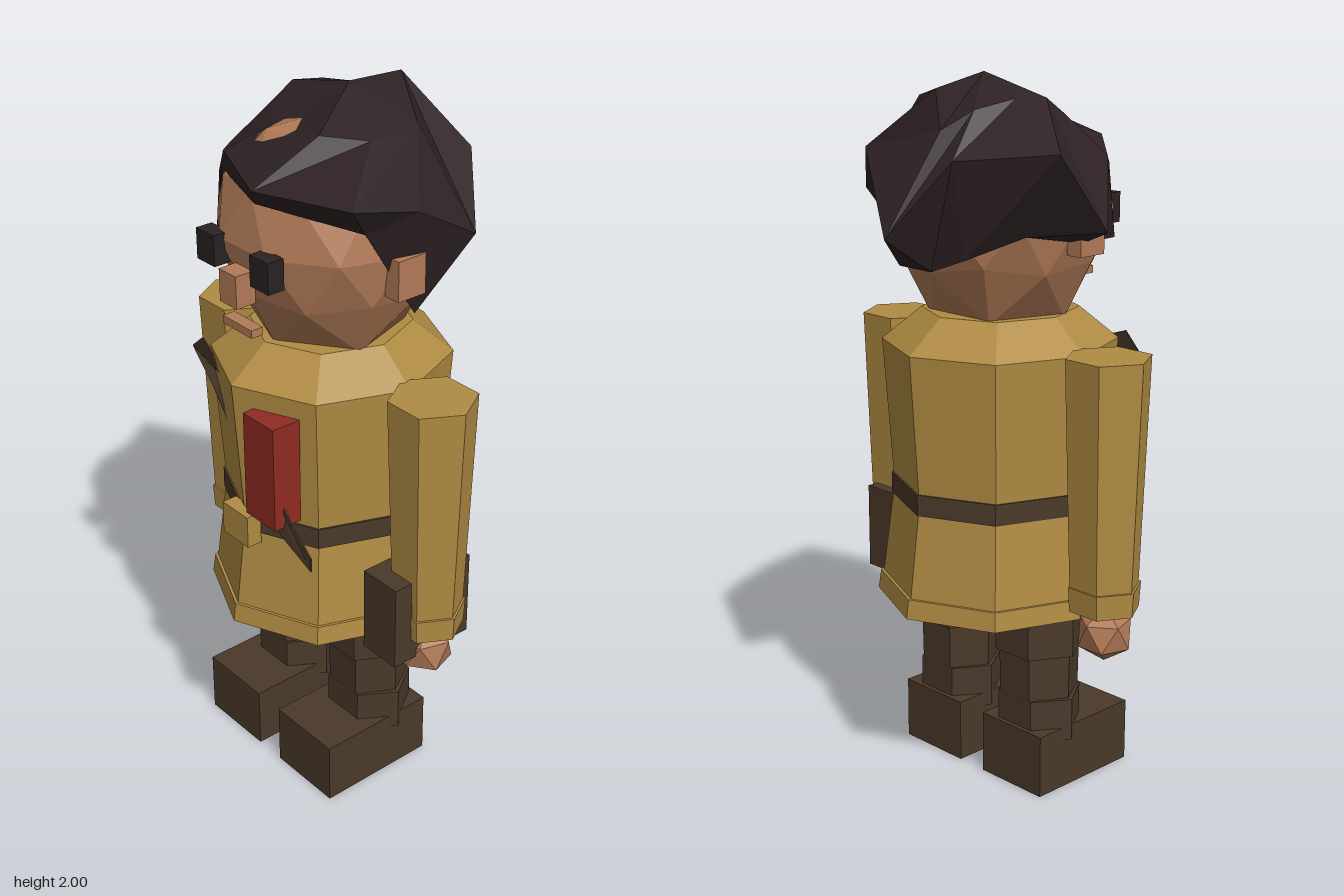
import * as THREE from 'three';

const CZ = 0.063; // depth of the body axis

const material = (name, color, side = THREE.FrontSide) => {
  const m = new THREE.MeshStandardMaterial({ color, side, flatShading: true });
  m.name = name;
  return m;
};

// Faceted ball standing on a point, with its lower ring pointing forwards
const facetedBall = (detail) => {
  const g = new THREE.IcosahedronGeometry(1, detail);
  g.rotateX(-Math.atan((1 + Math.sqrt(5)) / 2));
  g.rotateY(Math.PI);
  return g;
};

export function createModel() {
  const coat = material('coat', 0xb08b43);
  const skin = material('skin', 0xb17a57);
  const hairMat = material('hair', 0x2e2224, THREE.DoubleSide);
  const leather = material('leather', 0x4a392a, THREE.DoubleSide);
  const eyeMat = material('eye', 0x2a2122);
  const red = material('red', 0x8f2b22);

  const model = new THREE.Group();
  model.name = 'figure';

  const add = (name, geometry, mat, parent = model) => {
    const mesh = new THREE.Mesh(geometry, mat);
    mesh.name = name;
    parent.add(mesh);
    return mesh;
  };
  // Box given by its limits on each axis
  const box = (name, mat, x0, x1, y0, y1, z0, z1, parent) => {
    const mesh = add(name, new THREE.BoxGeometry(x1 - x0, y1 - y0, z1 - z0), mat, parent);
    mesh.position.set((x0 + x1) / 2, (y0 + y1) / 2, (z0 + z1) / 2);
    return mesh;
  };
  // Upright prism between two heights; six-sided ones point sideways
  const prism = (name, mat, x, y0, y1, r0, r1, sides, parent) => {
    const g = new THREE.CylinderGeometry(r1, r0, y1 - y0, sides);
    if (sides === 6) g.rotateY(Math.PI / 2);
    const mesh = add(name, g, mat, parent);
    mesh.position.set(x, (y0 + y1) / 2, CZ);
    return mesh;
  };

  // Coat: eight-sided sections, a little narrower than deep
  const torso = [
    ['coatShoulders', coat, 1.27, 1.36, 0.338, 0.225],
    ['coatChest', coat, 0.85, 1.27, 0.308, 0.338],
    ['coatSkirt', coat, 0.58, 0.85, 0.344, 0.308],
    ['coatHem', coat, 0.53, 0.585, 0.36, 0.352],
    ['belt', leather, 0.82, 0.88, 0.316, 0.316],
  ];
  for (const [name, mat, y0, y1, r0, r1] of torso) prism(name, mat, 0, y0, y1, r0, r1, 8).scale.x = 0.945;
  box('buckle', coat, -0.055, 0.055, 0.795, 0.89, 0.36, 0.405);
  box('chestPocket', red, 0.055, 0.18, 0.91, 1.215, 0.32, 0.407);
  box('hipPouch', leather, 0.307, 0.435, 0.515, 0.765, -0.06, 0.208);

  // Strap: a slanting thin band that dips into the middle of the chest
  const strapShape = new THREE.Shape([
    [-0.31, 1.235], [-0.18, 1.165], [-0.12, 1.11], [0.04, 0.97], [0.17, 0.88], [0.305, 0.84], [0.305, 0.88],
    [0.07, 1.05], [-0.1, 1.18], [-0.155, 1.23], [-0.18, 1.27], [-0.24, 1.29],
  ].map(([x, y]) => new THREE.Vector2(x, y)));
  const strapGeo = new THREE.ExtrudeGeometry(strapShape, { depth: 0.004, bevelEnabled: false });
  const sp = strapGeo.attributes.position;
  for (let i = 0; i < sp.count; i++) {
    const x = sp.getX(i);
    const dip = Math.abs(x + 0.1) < 0.04 ? 0.03 : 0;
    sp.setZ(i, sp.getZ(i) + 0.356 + 0.14 * x - 0.14 * x * x - dip);
  }
  strapGeo.computeVertexNormals();
  add('strap', strapGeo, leather);

  // Arms, hands, legs and feet
  for (const s of [-1, 1]) {
    const side = s > 0 ? 'left' : 'right';
    const arm = new THREE.Group();
    arm.name = side + 'Arm';
    model.add(arm);
    prism('sleeve', coat, s * 0.405, 0.6, 1.285, 0.097, 0.12, 6, arm);
    prism('cuff', coat, s * 0.407, 0.58, 0.65, 0.1, 0.104, 6, arm);
    const hand = add('hand', facetedBall(0), skin, arm);
    hand.scale.setScalar(0.082);
    hand.position.set(s * 0.405, 0.507, CZ + 0.005);

    const leg = new THREE.Group();
    leg.name = side + 'Leg';
    model.add(leg);
    prism('thigh', leather, s * 0.163, 0.4, 0.56, 0.13, 0.13, 6, leg);
    prism('shin', leather, s * 0.163, 0.25, 0.41, 0.115, 0.118, 6, leg);
    prism('bootShaft', leather, s * 0.163, 0.145, 0.27, 0.13, 0.13, 6, leg).scale.z = 0.89;
    box('boot', leather, s * 0.163 - 0.116, s * 0.163 + 0.116, 0, 0.183, -0.05, 0.31, leg);
  }

  // Head: a faceted ball whose lowest ring is drawn down into the collar
  const head = new THREE.Group();
  head.name = 'head';
  model.add(head);
  const skullGeo = facetedBall(1);
  const kp = skullGeo.attributes.position;
  for (let i = 0; i < kp.count; i++) {
    if (kp.getY(i) < -0.7) kp.setXYZ(i, kp.getX(i) * 1.2, kp.getY(i) - 0.15, kp.getZ(i) * 1.2);
  }
  skullGeo.computeVertexNormals();
  const skull = add('skull', skullGeo, skin, head);
  skull.scale.set(0.31, 0.295, 0.305);
  skull.position.set(0, 1.642, CZ);

  // Face
  box('nose', skin, -0.035, 0.035, 1.5, 1.59, 0.34, 0.4, head);
  box('mouth', skin, -0.06, 0.06, 1.42, 1.442, 0.338, 0.375, head);
  for (const s of [-1, 1]) {
    box('eye', eyeMat, s * 0.111 - 0.037, s * 0.111 + 0.037, 1.575, 1.66, 0.335, 0.385, head);
    box('ear', skin, s * 0.305 - 0.025, s * 0.305 + 0.025, 1.54, 1.65, 0.03, 0.12, head);
  }

  // Hair: rings run from the front round by the left side, from crown to rim
  const rings = [
    [[0.11, 1.93, 0.19], [0.2, 1.92, 0.1], [0.21, 1.92, 0], [0.19, 1.93, -0.06], [-0.05, 1.97, -0.22],
      [-0.1, 1.87, -0.25], [-0.15, 1.92, -0.18], [-0.19, 1.945, -0.07], [-0.23, 1.945, 0], [-0.24, 1.9, 0.06],
      [-0.15, 1.875, 0.13]],
    [[0.07, 1.82, 0.37], [0.35, 1.83, 0.287], [0.355, 1.78, 0.08], [0.355, 1.67, -0.115], [0.17, 1.81, -0.27],
      [-0.08, 1.61, -0.425], [-0.17, 1.8, -0.275], [-0.405, 1.825, -0.13], [-0.44, 1.62, 0.01], [-0.3, 1.79, 0.16],
      [-0.18, 1.83, 0.268]],
    [[0.05, 1.775, 0.345], [0.31, 1.74, 0.21], [0.27, 1.455, 0.01], [0.23, 1.57, -0.09], [0.12, 1.49, -0.2],
      [-0.05, 1.5, -0.24], [-0.15, 1.54, -0.21], [-0.26, 1.6, -0.1], [-0.3, 1.57, 0.07], [-0.25, 1.56, 0.25],
      [-0.225, 1.76, 0.25]],
  ];
  const crown = [0, 2, 0];
  const core = [0, 1.72, 0.05];
  const tris = [];
  const n = rings[0].length;
  for (let i = 0; i < n; i++) {
    const j = (i + 1) % n;
    tris.push(crown, rings[0][i], rings[0][j]);
    for (let k = 0; k < 2; k++) {
      const [a, b] = [rings[k], rings[k + 1]];
      tris.push(a[i], b[i], a[j], a[j], b[i], b[j]);
    }
    tris.push(rings[2][i], core, rings[2][j]);
  }
  const hairGeo = new THREE.BufferGeometry();
  hairGeo.setAttribute('position', new THREE.Float32BufferAttribute(tris.flat(), 3));
  hairGeo.computeVertexNormals();
  add('hair', hairGeo, hairMat, head);

  return model;
}
